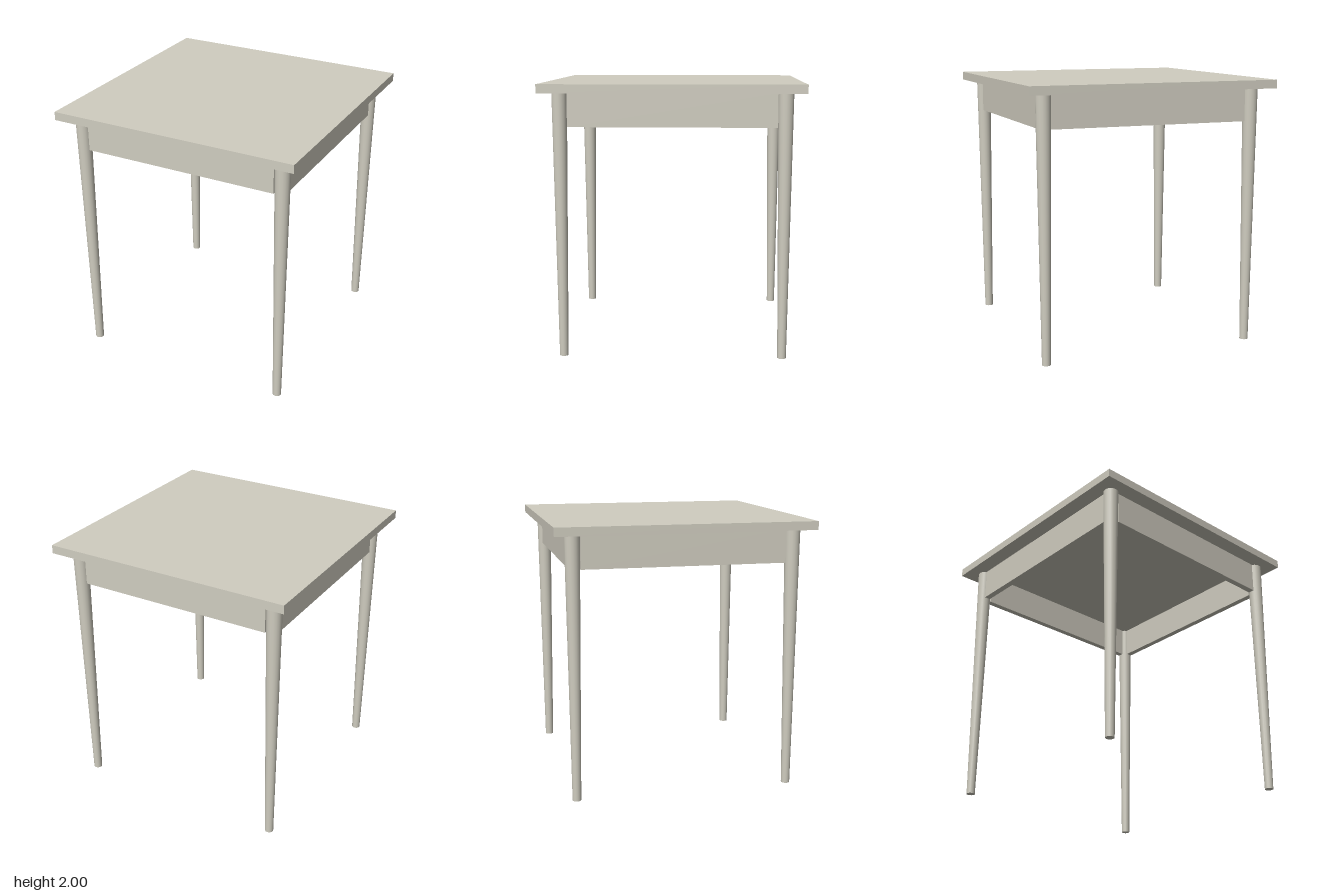
import * as THREE from 'three';

export function createModel() {
  const table = new THREE.Group();
  table.name = 'table';
  const paint = new THREE.MeshStandardMaterial({ name: 'warm grey paint', color: 0xd0cdc0 });

  const add = (name, geometry, x, y, z) => {
    const mesh = new THREE.Mesh(geometry, paint);
    mesh.name = name;
    mesh.position.set(x, y, z);
    table.add(mesh);
    return mesh;
  };

  const topThickness = 0.063;
  const legHeight = 2 - topThickness;
  const legOffset = 0.803;

  // Square top
  add('tableTop', new THREE.BoxGeometry(1.89, topThickness, 1.89), 0, 2 - topThickness / 2, 0);

  // Four round tapered legs
  const legShape = new THREE.CylinderGeometry(0.056, 0.032, legHeight, 16);
  for (const [side, x] of [['Left', 1], ['Right', -1]]) {
    for (const [end, z] of [['front', 1], ['back', -1]]) {
      add(`${end}${side}Leg`, legShape, x * legOffset, legHeight / 2, z * legOffset);
    }
  }

  // Apron rails between the legs
  const apronHeight = 0.245;
  const apronShape = new THREE.BoxGeometry(1.496, apronHeight, 0.047);
  ['front', 'left', 'back', 'right'].forEach((name, i) => {
    const angle = i * Math.PI / 2;
    const rail = add(`${name}Apron`, apronShape,
      Math.sin(angle) * legOffset, legHeight - apronHeight / 2, Math.cos(angle) * legOffset);
    rail.rotation.y = angle;
  });

  return table;
}
